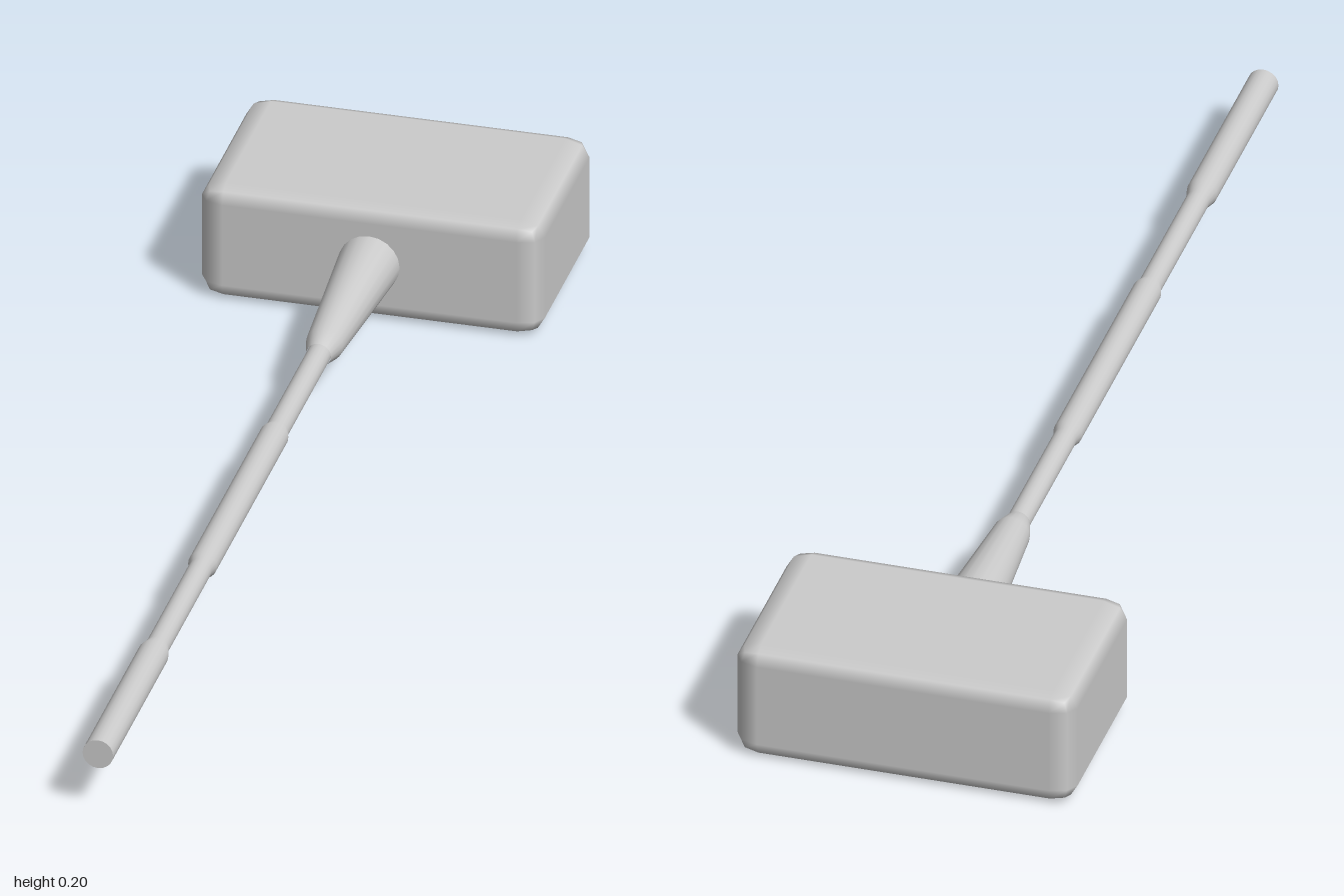
import * as THREE from 'three';
import { RoundedBoxGeometry } from 'three/addons/geometries/RoundedBoxGeometry.js';

const material = new THREE.MeshStandardMaterial({ color: 0xcccccc });
const SIDES = 20;
const AXIS_Y = 0.1;

function addPart(group, name, geometry) {
  const mesh = new THREE.Mesh(geometry, material);
  mesh.name = name;
  group.add(mesh);
  return mesh;
}

// Turned part along z from [radius, z] pairs, z ascending
function turned(profile) {
  const points = profile.map(([r, z]) => new THREE.Vector2(r, z));
  return new THREE.LatheGeometry(points, SIDES).rotateX(Math.PI / 2);
}

export function createModel() {
  const group = new THREE.Group();
  group.name = 'mallet';

  // Block head, its bevels wider along x
  const stretch = 1 / 0.7;
  const headGeometry = new RoundedBoxGeometry(0.56 / stretch, 0.2, 0.33, 1, 0.028);
  headGeometry.scale(stretch, 1, 1);
  addPart(group, 'head', headGeometry).position.set(0, AXIS_Y, -0.835);

  // Tapered socket joining the handle to the head
  addPart(group, 'socket', turned([
    [0.05, -0.69], [0.05, -0.67], [0.03, -0.395], [0.02, -0.36],
  ])).position.y = AXIS_Y;

  // Stepped handle with thicker middle and end grips
  addPart(group, 'handle', turned([
    [0.019, -0.38], [0.019, -0.1], [0.0235, -0.085], [0.0235, 0.355],
    [0.019, 0.37], [0.019, 0.635], [0.025, 0.66], [0.025, 1],
  ])).position.y = AXIS_Y;

  // Flat end of the handle
  addPart(group, 'handleEnd', new THREE.CircleGeometry(0.025, SIDES)).position.set(0, AXIS_Y, 1);

  return group;
}
